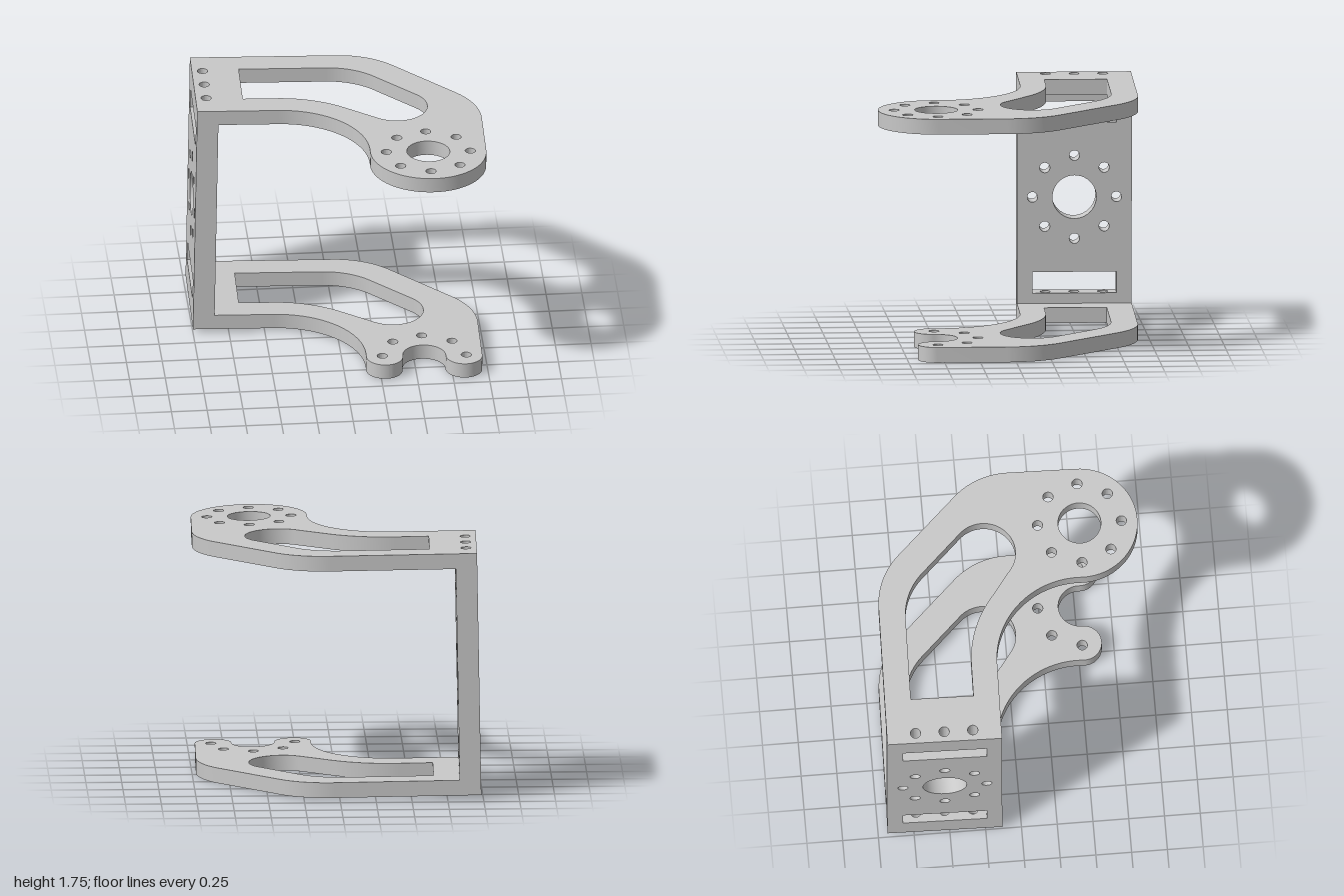
import * as THREE from 'three';
import { toCreasedNormals } from 'three/addons/utils/BufferGeometryUtils.js';

// Bracket dimensions; sketches use (x, s) with s = -z
const OUT = -1.004, IN = -0.855;            // wall outer and inner face
const BACK = 0.913, FRONT = 0.113;          // wall edges in s
const MID = (BACK + FRONT) / 2;
const BASE = 0.018, TOP = 1.738, PLATE = 0.108;
const SLOT_LOW = 0.199, SLOT_HIGH = 1.554, SLOT_H = 0.15, SLOT_HALF = 0.293;
const HUB = { x: 0.568, s: -0.522, r: 0.405, bore: 0.15 };
const BOLT_RING = 0.293, BOLT_R = 0.036;
const LOBE_MID = (HUB.r + HUB.bore) / 2, LOBE_R = (HUB.r - HUB.bore) / 2;
const { PI } = Math;

// Holes run counter-clockwise so that their walls face inwards
function hole(shape, x, y, r) {
  const path = new THREE.Path();
  path.absarc(x, y, r, 0, PI * 2, false);
  shape.holes.push(path);
}

function boltHoles(shape, x, y, first, last) {
  for (let i = first; i <= last; i++) {
    const a = i * PI / 4;
    hole(shape, x + Math.cos(a) * BOLT_RING, y + Math.sin(a) * BOLT_RING, BOLT_R);
  }
}

function extrude(shape, depth) {
  return new THREE.ExtrudeGeometry(shape, { depth, bevelEnabled: false, curveSegments: 20 });
}

// Arm outline: a full round hub, or an open hub ending in two lobes
function armShape(openHub) {
  const s = new THREE.Shape();
  s.moveTo(IN, BACK);
  s.lineTo(0.022, BACK);
  s.absarc(0.022, BACK - 0.535, 0.535, PI / 2, PI / 4, true);
  s.absarc(HUB.x + HUB.r - 0.535, -0.04, 0.535, PI / 4, 0, true);
  if (openHub) {
    const end = HUB.s - 0.01;
    s.absarc(HUB.x + LOBE_MID, end, LOBE_R, 0, -PI, true);
    s.absarc(HUB.x, HUB.s, HUB.bore, 0, PI, false);
    s.absarc(HUB.x - LOBE_MID, end, LOBE_R, 0, -PI, true);
    boltHoles(s, HUB.x, HUB.s, 0, 4);
  } else {
    s.absarc(HUB.x, HUB.s, HUB.r, 0, -PI, true);
    hole(s, HUB.x, HUB.s, HUB.bore);
    boltHoles(s, HUB.x, HUB.s, 0, 7);
  }
  s.absarc(-0.437, -0.487, 0.6, 0, PI / 2, false);
  s.lineTo(IN, FRONT);
  s.closePath();

  // Curved lightening window
  const w = new THREE.Path();
  w.moveTo(-0.675, 0.293);
  w.lineTo(-0.435, 0.293);
  w.absarc(-0.435, -0.487, 0.78, PI / 2, 0.946, true);
  w.absarc(0.383, 0.158, 0.222, -2.196, PI / 4, false);
  w.absarc(-0.065, 0.271, 0.459, PI / 4, PI / 2, false);
  w.lineTo(-0.675, 0.73);
  w.closePath();
  s.holes.push(w);
  return s;
}

// Wall end block with three screw holes
function endShape() {
  const s = new THREE.Shape();
  s.moveTo(OUT, FRONT);
  s.lineTo(IN, FRONT);
  s.lineTo(IN, BACK);
  s.lineTo(OUT, BACK);
  s.closePath();
  for (const d of [-0.2, 0, 0.2]) hole(s, (OUT + IN) / 2, MID + d, BOLT_R);
  return s;
}

// Wall between the end blocks, notched at both ends to leave the slots
function wallShape() {
  const a = MID - SLOT_HALF, b = MID + SLOT_HALF;
  const lo = SLOT_LOW + SLOT_H, hi = SLOT_HIGH - SLOT_H;
  const s = new THREE.Shape([
    [FRONT, SLOT_LOW], [a, SLOT_LOW], [a, lo], [b, lo], [b, SLOT_LOW], [BACK, SLOT_LOW],
    [BACK, SLOT_HIGH], [b, SLOT_HIGH], [b, hi], [a, hi], [a, SLOT_HIGH], [FRONT, SLOT_HIGH],
  ].map(([x, y]) => new THREE.Vector2(x, y)));
  const mid = (BASE + TOP) / 2;
  hole(s, MID, mid, 0.153);
  boltHoles(s, MID, mid, 0, 7);
  return s;
}

export function createModel() {
  const metal = new THREE.MeshStandardMaterial({ color: 0xc8c8c8 });
  metal.name = 'grey metal';
  const model = new THREE.Group();
  model.name = 'bracket';

  const add = (name, geometry) => {
    const mesh = new THREE.Mesh(toCreasedNormals(geometry, 0.5), metal);
    mesh.name = name;
    model.add(mesh);
  };
  const flat = (shape, y, depth) => extrude(shape, depth).rotateX(-PI / 2).translate(0, y, 0);

  add('upperArm', flat(armShape(false), TOP - PLATE, PLATE));
  add('lowerArm', flat(armShape(true), BASE, PLATE));
  add('upperEndBlock', flat(endShape(), SLOT_HIGH, TOP - SLOT_HIGH));
  add('lowerEndBlock', flat(endShape(), BASE, SLOT_LOW - BASE));
  add('wall', extrude(wallShape(), IN - OUT).rotateY(PI / 2).translate(OUT, 0, 0));

  // The whole bracket sits slightly askew
  model.rotation.set(0, -0.021, -0.0175);
  return model;
}
